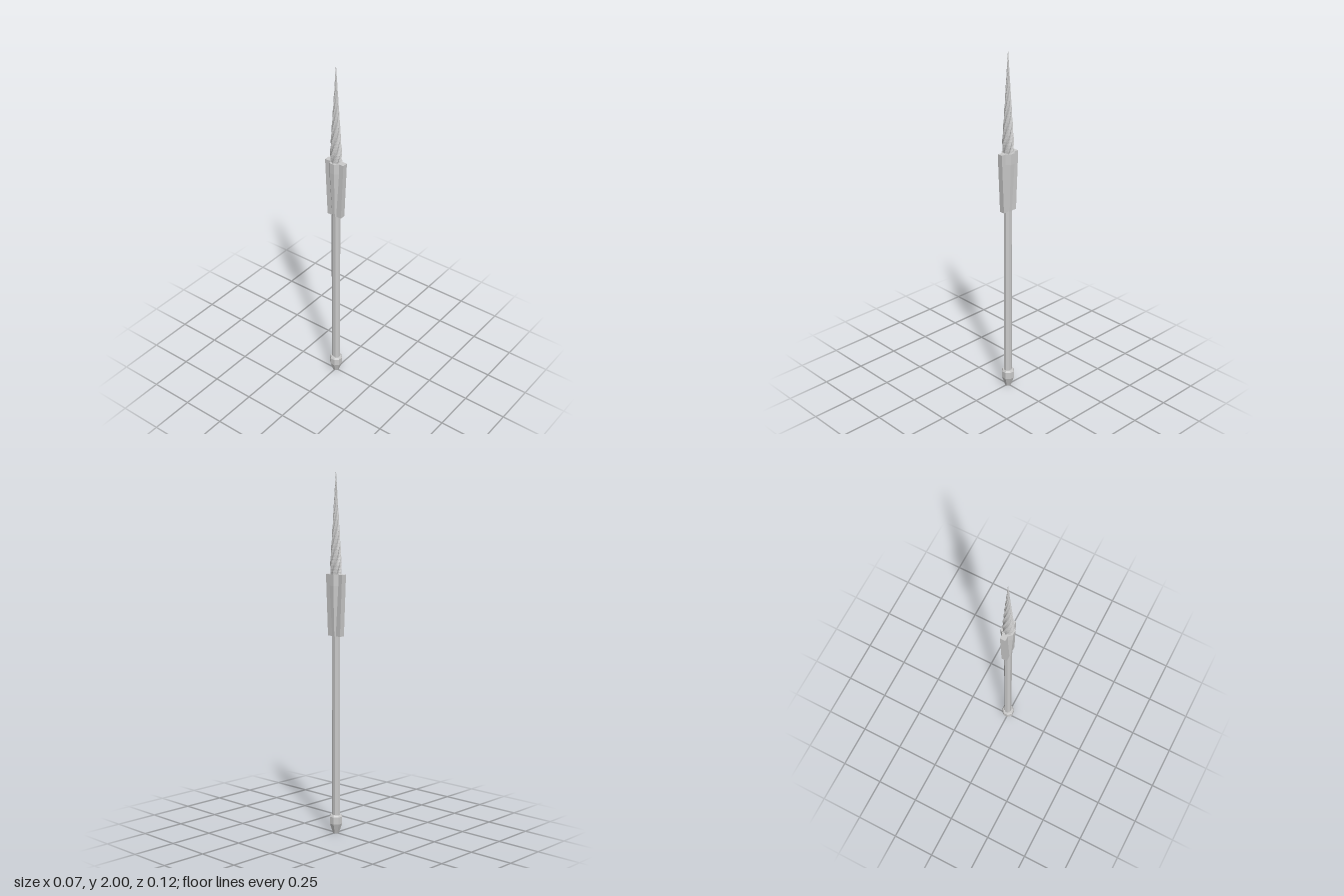
import * as THREE from 'three';

const material = new THREE.MeshStandardMaterial({ color: 0xcccccc, flatShading: true });

function add(group, name, geometry) {
  const mesh = new THREE.Mesh(geometry, material);
  mesh.name = name;
  group.add(mesh);
  return mesh;
}

// Eight-sided turned piece, with a flat facing each axis
function octagonal(points, sx = 1, sz = 1) {
  const profile = points.map(([r, y]) => new THREE.Vector2(r / Math.cos(Math.PI / 8), y));
  return new THREE.LatheGeometry(profile, 8, Math.PI / 8).scale(sx, 1, sz);
}

// Fluted cone whose ridges wind round the axis as they rise
function twistedSpike(bottom, top, radius, flutes, turns) {
  const height = top - bottom, rings = 32;
  const geometry = new THREE.CylinderGeometry(1, 1, height, flutes * 2, rings, false);
  geometry.translate(0, bottom + height / 2, 0);
  const p = geometry.attributes.position;
  for (let i = 0; i < p.count; i++) {
    const x = p.getX(i), y = p.getY(i), z = p.getZ(i);
    const t = (y - bottom) / height;
    const angle = Math.atan2(x, z);
    const ridge = 0.89 + 0.11 * Math.cos(flutes * angle);
    // slight swelling above the base, then a long taper to the point
    const taper = t < 0.1 ? 0.94 + 0.6 * t : (1 - t) / 0.9;
    const r = Math.hypot(x, z) * radius * ridge * taper;
    const a = angle + turns * Math.PI * 2 * t;
    p.setXYZ(i, r * Math.sin(a), y, r * Math.cos(a));
  }
  geometry.computeVertexNormals();
  return geometry;
}

// Tapered flange plate, projecting both to the front and to the back
function flangePlate(bottom, top, bottomDepth, topDepth, thickness) {
  const shape = new THREE.Shape([
    new THREE.Vector2(-bottomDepth, bottom), new THREE.Vector2(bottomDepth, bottom),
    new THREE.Vector2(topDepth, top), new THREE.Vector2(-topDepth, top),
  ]);
  const geometry = new THREE.ExtrudeGeometry(shape, { depth: thickness, bevelEnabled: false });
  return geometry.translate(0, 0, -thickness / 2).rotateY(Math.PI / 2);
}

export function createModel() {
  const group = new THREE.Group();
  group.name = 'spear';

  // Butt cap: blunt taper with a chamfered shoulder
  add(group, 'buttCap', octagonal([
    [0, 0], [0.016, 0], [0.034, 0.055], [0.034, 0.095], [0.028, 0.105], [0, 0.105],
  ]));

  // Shaft: slightly deeper than it is wide
  add(group, 'shaft', octagonal([[0, 0.09], [0.019, 0.09], [0.019, 1.15], [0, 1.15]], 1, 1.25));

  // Socket widening towards the head
  add(group, 'socket', octagonal([[0, 1.105], [0.021, 1.105], [0.035, 1.38], [0.035, 1.44], [0, 1.44]], 1, 0.95));
  add(group, 'socketFlanges', flangePlate(1.105, 1.44, 0.045, 0.06, 0.031));

  // Spiral point
  add(group, 'spiralPoint', twistedSpike(1.435, 2, 0.032, 8, 0.9));

  return group;
}
